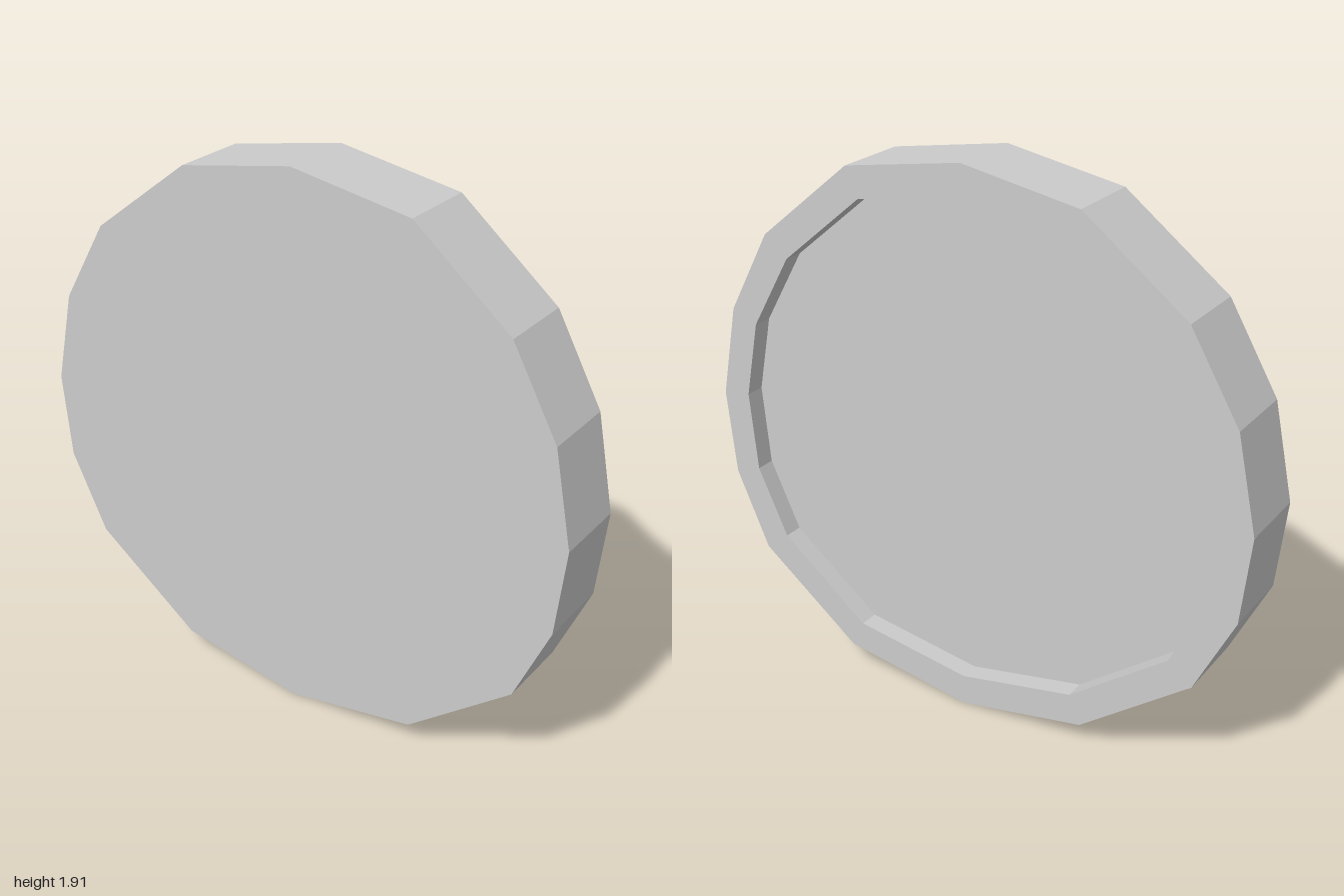
import * as THREE from 'three';

// Outlines as [z, y], counter-clockwise seen from +x, starting at the top
const OUTER = [
  [0.01, 1.91], [0.435, 1.84], [0.775, 1.56], [0.935, 1.27], [1, 0.945], [0.97, 0.645], [0.85, 0.37], [0.48, 0.08],
  [0.01, 0], [-0.445, 0.08], [-0.835, 0.37], [-0.97, 0.645], [-1, 0.945], [-0.93, 1.27], [-0.76, 1.56], [-0.4, 1.835],
];
const INNER = [
  [0.01, 1.8], [0.39, 1.74], [0.69, 1.49], [0.84, 1.23], [0.895, 0.96], [0.87, 0.68], [0.76, 0.44], [0.435, 0.18],
  [0.01, 0.11], [-0.405, 0.185], [-0.75, 0.44], [-0.865, 0.68], [-0.89, 0.96], [-0.83, 1.23], [-0.675, 1.485], [-0.355, 1.74],
];
const HALF = 0.135;   // half the thickness
const RECESS = 0.07;  // depth of the sunken face
const CENTRE = [0, 0.95];

const material = new THREE.MeshStandardMaterial({ color: 0xcccccc, flatShading: true });

const ring = (outline, x) => outline.map(([z, y]) => new THREE.Vector3(x, y, z));
const hub = (x) => ring(OUTER.map(() => CENTRE), x);

// Joins successive rings with faces, skipping the collapsed side at a hub
function loft(name, rings) {
  const points = [];
  for (let r = 0; r < rings.length - 1; r++) {
    const a = rings[r], b = rings[r + 1];
    for (let i = 0; i < a.length; i++) {
      const j = (i + 1) % a.length;
      if (!a[i].equals(a[j])) points.push(a[i], a[j], b[j]);
      if (!b[i].equals(b[j])) points.push(a[i], b[j], b[i]);
    }
  }
  const geometry = new THREE.BufferGeometry().setFromPoints(points);
  geometry.computeVertexNormals();
  const mesh = new THREE.Mesh(geometry, material);
  mesh.name = name;
  return mesh;
}

export function createModel() {
  const group = new THREE.Group();
  group.name = 'recessedDisc';
  const floorX = HALF - RECESS;
  group.add(
    // Flat back and faceted outer edge
    loft('backAndEdge', [hub(-HALF), ring(OUTER, -HALF), ring(OUTER, HALF)]),
    // Raised rim with its inner wall
    loft('rim', [ring(OUTER, HALF), ring(INNER, HALF), ring(INNER, floorX)]),
    // Sunken face
    loft('recessedFace', [ring(INNER, floorX), hub(floorX)]),
  );
  return group;
}
